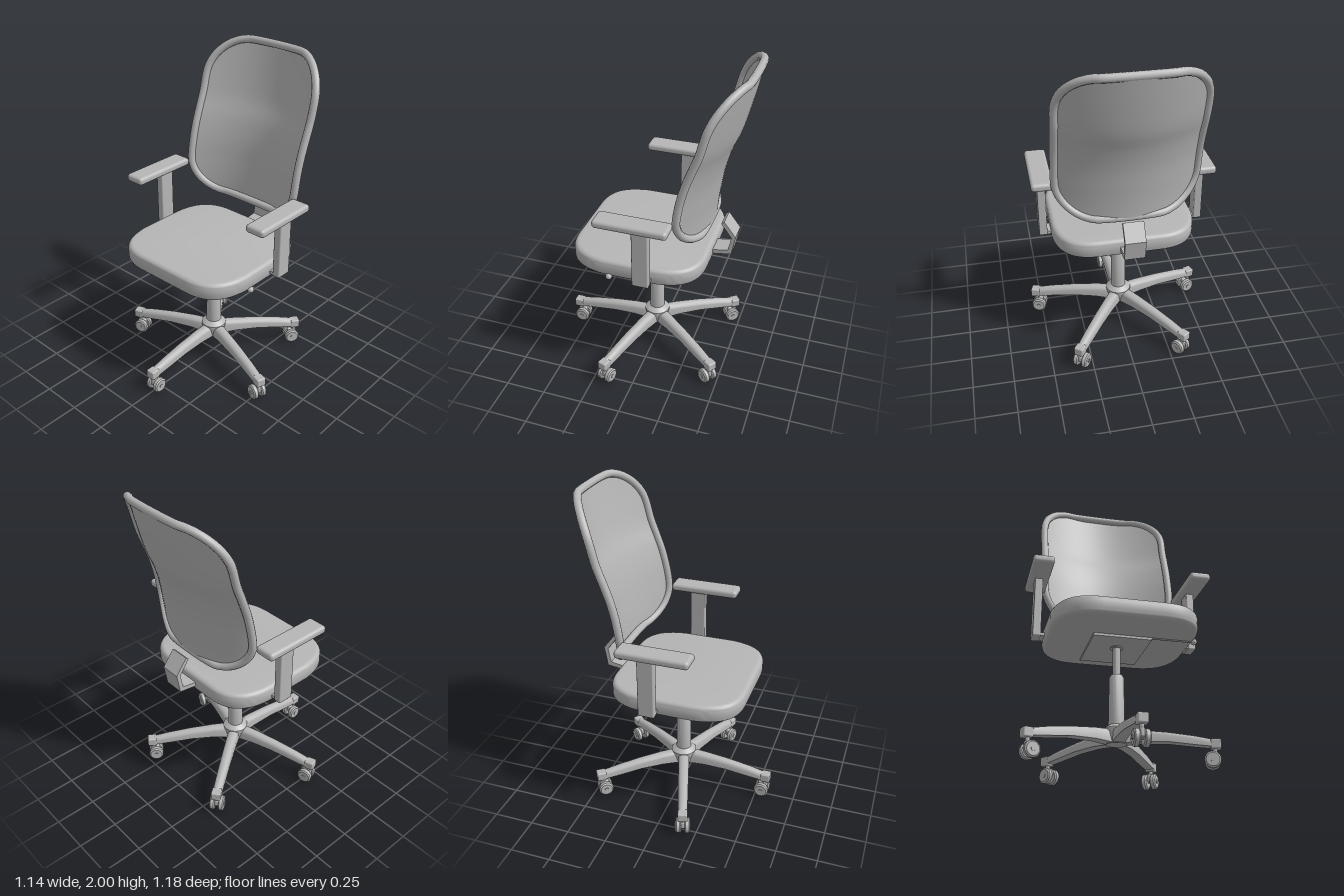
import * as THREE from 'three';
import { toCreasedNormals } from 'three/addons/utils/BufferGeometryUtils.js';
import { RoundedBoxGeometry } from 'three/addons/geometries/RoundedBoxGeometry.js';

const grey = new THREE.MeshStandardMaterial({ color: 0xb6b6b6, side: THREE.DoubleSide });
grey.name = 'grey plastic';

function add(parent, name, geometry, x = 0, y = 0, z = 0) {
  const mesh = new THREE.Mesh(geometry, grey);
  mesh.name = name;
  mesh.position.set(x, y, z);
  parent.add(mesh);
  return mesh;
}

// Closed skin through rings of equal point count, capped at both ends
function loft(rings) {
  const n = rings[0].length, pos = rings.flat(2), index = [];
  for (let i = 0; i < rings.length - 1; i++) {
    for (let j = 0; j < n; j++) {
      const a = i * n + j, b = i * n + (j + 1) % n;
      index.push(a, a + n, b, b, a + n, b + n);
    }
  }
  const last = (rings.length - 1) * n;
  for (let j = 1; j < n - 1; j++) index.push(0, j, j + 1, last, last + j + 1, last + j);
  const g = new THREE.BufferGeometry();
  g.setAttribute('position', new THREE.Float32BufferAttribute(pos, 3));
  g.setIndex(index);
  return toCreasedNormals(g, 0.7);
}

// Centre line of the back in side view, and its wrap-around towards the sides
const spine = new THREE.SplineCurve([
  [0.98, -0.362], [1.1, -0.372], [1.22, -0.388], [1.36, -0.412], [1.5, -0.452],
  [1.62, -0.5], [1.8, -0.547], [2.0, -0.592],
].map(p => new THREE.Vector2(...p)));
const spinePoints = spine.getPoints(80);
function backZ(x, y) {
  let i = 1;
  while (i < spinePoints.length - 1 && spinePoints[i].x < y) i++;
  const a = spinePoints[i - 1], b = spinePoints[i];
  const z = a.y + (b.y - a.y) * (y - a.x) / (b.x - a.x);
  return z + 0.145 * (x / 0.42) ** 2;
}

const BACK = { w: 0.418, y0: 1.012, y1: 1.978, r: 0.23 };

function frameGeometry() {
  const { w, y0, y1, r } = BACK, pts = [];
  const corners = [[1, 1, 0], [-1, 1, 1], [-1, -1, 2], [1, -1, 3]];
  for (const [sx, sy, q] of corners) {
    const cx = sx * (w - r), cy = sy > 0 ? y1 - r : y0 + r;
    for (let k = 0; k <= 8; k++) {
      const a = (q + k / 8) * Math.PI / 2;
      const x = cx + r * Math.cos(a), y = cy + r * Math.sin(a);
      pts.push(new THREE.Vector3(x, y, backZ(Math.max(Math.abs(x), 0.19), y)));
    }
    // extra points down the long sides follow the bend of the back
    if (q === 1 || q === 3) {
      for (let k = 1; k < 5; k++) {
        const t = q === 1 ? 1 - k / 5 : k / 5, y = y0 + r + t * (y1 - y0 - 2 * r);
        pts.push(new THREE.Vector3(sx * w, y, backZ(w, y)));
      }
    }
  }
  const path = new THREE.CatmullRomCurve3(pts, true, 'centripetal');
  return new THREE.TubeGeometry(path, 160, 0.024, 12, true);
}

function meshPanelGeometry() {
  const { w, y0, y1, r } = BACK;
  const g = new THREE.PlaneGeometry(2, 1, 24, 40), p = g.attributes.position;
  for (let i = 0; i < p.count; i++) {
    const t = (1 - Math.cos((p.getY(i) + 0.5) * Math.PI)) / 2;
    const y = y0 + t * (y1 - y0);
    const d = Math.max(0, r - Math.min(y - y0, y1 - y));
    const x = p.getX(i) * (w - r + Math.sqrt(Math.max(0, r * r - d * d)));
    p.setXYZ(i, x, y, backZ(x, y));
  }
  g.computeVertexNormals();
  return g;
}

function seatGeometry() {
  const s = new THREE.Shape(), b = 0.03, w = 0.437 - b, f = 0.453 - b, k = -0.375 + b;
  s.moveTo(-0.18, -f);
  s.lineTo(0.18, -f);
  s.bezierCurveTo(0.32, -f, w - 0.02, -0.36, w, -0.2);
  s.lineTo(w, 0.12);
  s.bezierCurveTo(w - 0.01, 0.27, 0.33, -k, 0.19, -k);
  s.lineTo(-0.19, -k);
  s.bezierCurveTo(-0.33, -k, -w + 0.01, 0.27, -w, 0.12);
  s.lineTo(-w, -0.2);
  s.bezierCurveTo(-w + 0.02, -0.36, -0.32, -f, -0.18, -f);
  const g = new THREE.ExtrudeGeometry(s, {
    depth: 0.05, bevelEnabled: true, bevelSize: b, bevelThickness: b, bevelSegments: 5, curveSegments: 14,
  });
  g.rotateX(-Math.PI / 2);
  return toCreasedNormals(g, 0.6);
}

// Bent strap joining seat and back, drawn in side view as (z, y)
function strapGeometry() {
  const s = new THREE.Shape([
    [-0.3, 0.79], [-0.375, 0.798], [-0.49, 0.815], [-0.512, 0.94], [-0.438, 1.037],
    [-0.42, 1.022], [-0.486, 0.932], [-0.468, 0.84], [-0.375, 0.825], [-0.3, 0.82],
  ].map(p => new THREE.Vector2(...p)));
  const g = new THREE.ExtrudeGeometry(s, { depth: 0.124, bevelEnabled: false });
  g.rotateY(-Math.PI / 2);
  g.translate(0.062, 0, 0);
  return g;
}

// Arched leg running along +z: [distance, bottom, top, half width]
function legGeometry() {
  const stations = [[0.03, 0.152, 0.238, 0.036], [0.15, 0.16, 0.232, 0.034], [0.3, 0.155, 0.216, 0.032],
    [0.45, 0.135, 0.192, 0.03], [0.56, 0.122, 0.168, 0.028]];
  return loft(stations.map(([z, lo, hi, w]) => {
    const ring = [[-w, lo, z], [w, lo, z]];
    for (let k = 0; k <= 6; k++) {
      const a = k / 6 * Math.PI;
      ring.push([w * Math.cos(a), hi - 0.025 + 0.025 * Math.sin(a), z]);
    }
    return ring.reverse();
  }));
}

function buildCastor() {
  const castor = new THREE.Group();
  castor.name = 'castor';
  add(castor, 'castorStem', new THREE.CylinderGeometry(0.014, 0.014, 0.08, 14), 0, 0.105, 0.015);
  add(castor, 'castorBody', new RoundedBoxGeometry(0.026, 0.05, 0.06, 2, 0.01), 0, 0.07, 0.005);
  const profile = [[0, -0.017], [0.038, -0.017], [0.047, -0.01], [0.047, 0.01], [0.038, 0.017], [0, 0.017]];
  const wheel = toCreasedNormals(new THREE.LatheGeometry(profile.map(p => new THREE.Vector2(...p)), 24), 0.6);
  wheel.rotateZ(Math.PI / 2);
  const cap = new THREE.CylinderGeometry(0.013, 0.013, 0.006, 14).rotateZ(Math.PI / 2);
  for (const s of [-1, 1]) {
    add(castor, 'wheel', wheel, s * 0.028, 0.048, 0);
    add(castor, 'wheelCap', cap, s * 0.046, 0.048, 0);
  }
  add(castor, 'axle', new THREE.CylinderGeometry(0.009, 0.009, 0.04, 10).rotateZ(Math.PI / 2), 0, 0.048, 0);
  return castor;
}

export function createModel() {
  const chair = new THREE.Group();
  chair.name = 'officeChair';

  // Five-legged star base
  const leg = legGeometry();
  for (let i = 0; i < 5; i++) {
    const arm = new THREE.Group();
    arm.name = 'baseLeg';
    arm.rotation.y = i * Math.PI * 2 / 5;
    add(arm, 'leg', leg);
    add(arm, 'legTip', new RoundedBoxGeometry(0.06, 0.056, 0.06, 2, 0.008), 0, 0.141, 0.562);
    const castor = buildCastor();
    castor.position.z = 0.54;
    arm.add(castor);
    chair.add(arm);
  }

  // Hub and gas column
  const column = [[0, 0.15], [0.06, 0.15], [0.08, 0.225], [0.08, 0.238], [0.055, 0.258], [0.048, 0.262],
    [0.044, 0.55], [0.036, 0.568], [0.024, 0.57], [0.024, 0.76]];
  add(chair, 'column', toCreasedNormals(
    new THREE.LatheGeometry(column.map(p => new THREE.Vector2(...p)), 28), 0.5));
  add(chair, 'columnCollar', new THREE.CylinderGeometry(0.04, 0.04, 0.01, 24), 0, 0.744, 0);

  // Seat and the plate below it
  add(chair, 'seat', seatGeometry(), 0, 0.79, 0);
  add(chair, 'seatPlate', new THREE.BoxGeometry(0.35, 0.02, 0.42), 0, 0.755, -0.04);
  add(chair, 'lever', new THREE.CylinderGeometry(0.009, 0.009, 0.28, 10).rotateZ(Math.PI / 2), 0.3, 0.763, 0.16);
  add(chair, 'leverKnob', new THREE.SphereGeometry(0.02, 14, 10), 0.435, 0.762, 0.16);

  // Back
  add(chair, 'backFrame', frameGeometry());
  add(chair, 'backPanel', meshPanelGeometry());
  add(chair, 'backStrap', strapGeometry());

  // Armrests
  for (const s of [-1, 1]) {
    const arm = new THREE.Group();
    arm.name = s > 0 ? 'leftArmrest' : 'rightArmrest';
    add(arm, 'armPost', new RoundedBoxGeometry(0.05, 0.39, 0.1, 2, 0.008), s * 0.484, 0.982, -0.06);
    add(arm, 'armBracket', new THREE.BoxGeometry(0.12, 0.02, 0.09), s * 0.44, 0.8, -0.06);
    add(arm, 'armPad', new RoundedBoxGeometry(0.13, 0.05, 0.44, 4, 0.02), s * 0.485, 1.19, -0.01);
    chair.add(arm);
  }
  return chair;
}
